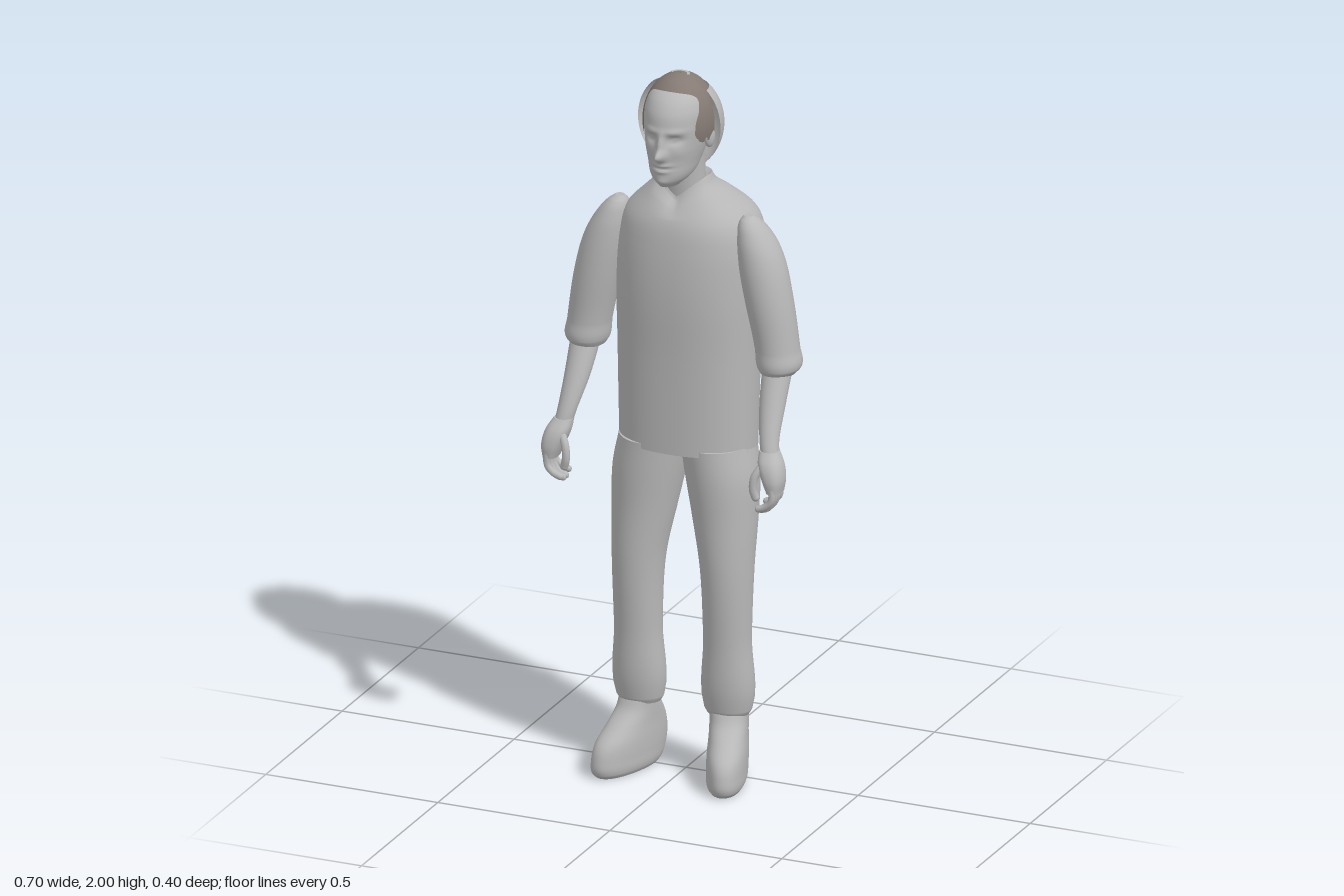
import * as THREE from 'three';
import { ParametricGeometry } from 'three/addons/geometries/ParametricGeometry.js';

const TAU = Math.PI * 2;

// Smooth body through horizontal cross-sections, listed upwards: [y, x0, x1, z0, z1]
function loft(sections, { side = 1, n = 40, steps = 6, power = 2, rule } = {}) {
  const curve = new THREE.CubicInterpolant(
    sections.map((s) => s[0]), sections.flatMap((s) => s.slice(1)), 4);
  const levels = [];
  sections.forEach((s, i) => {
    const next = sections[i + 1];
    for (let k = 0; k < (next ? steps : 1); k++) {
      levels.push(next ? s[0] + ((next[0] - s[0]) * k) / steps : s[0]);
    }
  });
  const pos = [], idx = [], e = 2 / power;
  const ring = (y) => {
    const [x0, x1, z0, z1] = curve.evaluate(y);
    for (let j = 0; j < n; j++) {
      const c = Math.cos((j / n) * TAU), s = Math.sin((j / n) * TAU);
      const p = new THREE.Vector3(
        side * (x0 + x1) / 2 + ((x1 - x0) / 2) * Math.sign(c) * Math.abs(c) ** e, y,
        (z0 + z1) / 2 + ((z1 - z0) / 2) * Math.sign(s) * Math.abs(s) ** e);
      if (rule) rule(p);
      pos.push(p.x, p.y, p.z);
    }
    return [side * (x0 + x1) / 2, y, (z0 + z1) / 2];
  };
  levels.forEach((y, i) => {
    ring(y);
    if (i === 0) return;
    for (let j = 0; j < n; j++) {
      const a = (i - 1) * n + j, b = (i - 1) * n + ((j + 1) % n);
      idx.push(a, a + n, b, b, a + n, b + n);
    }
  });
  // End caps on their own rings, so the rims stay sharp
  for (const top of [false, true]) {
    const start = pos.length / 3;
    const centre = ring(top ? levels[levels.length - 1] : levels[0]);
    const p = new THREE.Vector3(...centre);
    if (rule) rule(p);
    pos.push(p.x, p.y, p.z);
    for (let j = 0; j < n; j++) {
      const a = start + j, b = start + ((j + 1) % n);
      idx.push(start + n, ...(top ? [b, a] : [a, b]));
    }
  }
  const g = new THREE.BufferGeometry();
  g.setAttribute('position', new THREE.Float32BufferAttribute(pos, 3));
  g.setIndex(idx);
  g.computeVertexNormals();
  return g;
}

// Part of an ellipsoid between a lower edge and an upper edge
function dome(centre, radii, from, to, low, high, nu, nv) {
  const g = new ParametricGeometry((u, v, t) => {
    const a = from + (to - from) * u;
    const el = low(a) + (high - low(a)) * v;
    const r = Math.cos(el);
    t.set(centre[0] + radii[0] * r * Math.cos(a), centre[1] + radii[1] * Math.sin(el),
      centre[2] + radii[2] * r * Math.sin(a));
  }, nu, nv);
  g.computeVertexNormals();
  return g;
}

const bump = (p, x, y, z, sx, sy, amount) => {
  if (p.z > z) p.z += amount * Math.exp(-(((p.x - x) / sx) ** 2) - ((p.y - y) / sy) ** 2);
};

// Brow, eye sockets, nose, mouth and chin
function faceRule(p) {
  bump(p, 0, 1.808, 0.08, 0.014, 0.016, 0.034);
  bump(p, 0, 1.84, 0.08, 0.011, 0.024, 0.016);
  for (const s of [-1, 1]) {
    bump(p, s * 0.034, 1.85, 0.08, 0.018, 0.011, -0.014);
    bump(p, s * 0.034, 1.85, 0.08, 0.01, 0.005, 0.007);
    bump(p, s * 0.034, 1.873, 0.08, 0.026, 0.008, 0.005);
    bump(p, s * 0.045, 1.815, 0.08, 0.02, 0.018, 0.004);
  }
  bump(p, 0, 1.778, 0.08, 0.024, 0.005, 0.007);
  bump(p, 0, 1.77, 0.08, 0.026, 0.0035, -0.005);
  bump(p, 0, 1.762, 0.08, 0.02, 0.005, 0.006);
  bump(p, 0, 1.728, 0.08, 0.02, 0.012, 0.006);
}

export function createModel() {
  const model = new THREE.Group();
  const grey = new THREE.MeshStandardMaterial({ color: 0xb8b8b8, side: THREE.DoubleSide });
  grey.name = 'light grey';
  const brown = new THREE.MeshStandardMaterial({ color: 0x857a74, side: THREE.DoubleSide });
  brown.name = 'hair brown';
  const add = (name, geometry, material = grey, parent = model) => {
    const mesh = new THREE.Mesh(geometry, material);
    mesh.name = name;
    parent.add(mesh);
    return mesh;
  };

  // Shirt, with the neckline dipping at the front
  add('shirt', loft([
    [0.935, -0.19, 0.19, -0.15, 0.115], [1.2, -0.195, 0.195, -0.165, 0.122],
    [1.4, -0.198, 0.2, -0.183, 0.13], [1.54, -0.192, 0.195, -0.197, 0.122],
    [1.59, -0.175, 0.175, -0.182, 0.112], [1.65, -0.118, 0.118, -0.115, 0.085],
    [1.685, -0.084, 0.084, -0.066, 0.065], [1.71, -0.072, 0.072, -0.048, 0.052],
  ], { n: 64, power: 2.25, rule: (p) => {
    if (p.y > 1.6 && p.z > 0) {
      p.y -= 0.055 * Math.max(0, 1 - Math.abs(p.x) / 0.07) * Math.min(1, (p.y - 1.6) / 0.1);
      p.z += 0.02 * Math.max(0, 1 - Math.abs(p.x) / 0.07) * Math.min(1, (p.y - 1.6) / 0.1);
    }
  } }));

  // Neck and head
  add('neck', loft([
    [1.62, -0.064, 0.064, -0.05, 0.06], [1.7, -0.058, 0.058, -0.043, 0.068],
    [1.8, -0.058, 0.058, -0.045, 0.08],
  ]));
  add('head', loft([
    [1.712, -0.028, 0.028, 0.06, 0.148], [1.735, -0.052, 0.052, 0.01, 0.163],
    [1.78, -0.069, 0.069, -0.03, 0.165], [1.83, -0.081, 0.081, -0.052, 0.165],
    [1.88, -0.086, 0.086, -0.058, 0.164], [1.925, -0.083, 0.083, -0.052, 0.152],
    [1.96, -0.066, 0.066, -0.03, 0.122], [1.982, -0.036, 0.036, 0.0, 0.08],
  ], { n: 96, steps: 10, rule: faceRule }));
  for (const s of [-1, 1]) {
    const ear = add('ear', new THREE.SphereGeometry(1, 16, 12));
    ear.scale.set(0.012, 0.032, 0.018);
    ear.position.set(s * 0.088, 1.835, 0.045);
    ear.rotation.y = s * -0.3;
  }

  // Hair: cropped back shell and a ragged cap with sideburns
  add('backHair', dome([0, 1.862, 0.045], [0.12, 0.135, 0.121], Math.PI, TAU, () => -0.95, 0.85, 40, 20));
  const hairline = (a) => {
    const s = Math.sin(a), ragged = 0.05 * Math.sin(a * 23) + 0.03 * Math.sin(a * 41);
    if (s < -0.05) return 0.5 + ragged;
    if (s < 0.6) return -0.28 + ragged;
    return Math.min(0.62, -0.28 + (s - 0.6) * 3.2) + ragged * 0.5;
  };
  add('hairCap', dome([0, 1.87, 0.038], [0.1, 0.13, 0.106], 0, TAU, hairline, 1.56, 120, 18), brown);
  // Light crown patch
  const crown = add('crownPatch', new THREE.RingGeometry(0.021, 0.029, 24, 1, 0.15, Math.PI - 0.3));
  crown.rotation.x = -Math.PI / 2;
  crown.position.set(0, 1.999, 0.045);

  for (const side of [1, -1]) {
    const label = side > 0 ? 'right' : 'left'; // sections are written for the -x side
    const opt = { side };

    // Trousers
    add(label + 'TrouserLeg', loft([
      [0.185, -0.185, -0.07, -0.035, 0.06], [0.2, -0.194, -0.062, -0.042, 0.067],
      [0.4, -0.195, -0.064, -0.042, 0.083], [0.6, -0.2, -0.056, -0.058, 0.097],
      [0.75, -0.205, -0.028, -0.088, 0.1], [0.86, -0.204, -0.006, -0.112, 0.105],
      [0.95, -0.188, 0.01, -0.13, 0.106],
    ], opt));

    // Shoe, toes turned out
    const shoe = add(label + 'Shoe', loft([
      [0, -0.044, 0.044, -0.06, 0.165], [0.012, -0.051, 0.051, -0.073, 0.178],
      [0.05, -0.054, 0.054, -0.09, 0.18], [0.09, -0.054, 0.054, -0.094, 0.163],
      [0.13, -0.052, 0.052, -0.085, 0.115], [0.165, -0.052, 0.052, -0.065, 0.072],
      [0.2, -0.052, 0.052, -0.04, 0.05],
    ], { power: 2.2 }));
    shoe.position.set(-side * 0.13, 0, 0.01);
    shoe.rotation.y = -side * 0.3;

    // Arm: rolled sleeve, forearm, palm
    const arm = new THREE.Group();
    arm.name = label + 'Arm';
    model.add(arm);
    add('sleeve', loft([
      [1.182, -0.322, -0.23, -0.042, 0.072], [1.2, -0.337, -0.22, -0.053, 0.083],
      [1.25, -0.332, -0.213, -0.05, 0.081], [1.4, -0.31, -0.18, -0.053, 0.084],
      [1.5, -0.284, -0.16, -0.055, 0.077], [1.56, -0.252, -0.157, -0.045, 0.064],
      [1.6, -0.218, -0.165, -0.018, 0.043], [1.613, -0.2, -0.175, 0, 0.025],
    ], opt), grey, arm);
    add('forearm', loft([
      [0.97, -0.328, -0.28, 0.1, 0.158], [1.02, -0.32, -0.268, 0.09, 0.144],
      [1.1, -0.318, -0.25, 0.04, 0.113], [1.22, -0.32, -0.235, -0.025, 0.06],
    ], opt), grey, arm);
    add('palm', loft([
      [0.895, -0.345, -0.305, 0.115, 0.183], [0.93, -0.35, -0.29, 0.108, 0.186],
      [0.97, -0.342, -0.275, 0.103, 0.175], [1.0, -0.325, -0.272, 0.1, 0.152],
    ], { side, power: 2.4 }), grey, arm);

    // Curled fingers and thumb
    const digit = (name, points, r) => {
      const pts = points.map(([x, y, z]) => new THREE.Vector3(side * x, y, z));
      add(name, new THREE.TubeGeometry(new THREE.CatmullRomCurve3(pts), 12, r, 10), grey, arm);
      const tip = add(name + 'Tip', new THREE.SphereGeometry(r, 10, 8), grey, arm);
      tip.position.copy(pts[pts.length - 1]);
    };
    for (let i = 0; i < 4; i++) {
      const z = 0.122 + i * 0.018, drop = [0.012, 0, 0, 0.008][i];
      digit('finger', [[-0.327, 0.91, z], [-0.325, 0.875, z], [-0.308, 0.848 + drop, z], [-0.288, 0.84 + drop, z]], 0.0095);
    }
    digit('thumb', [[-0.295, 0.97, 0.155], [-0.275, 0.935, 0.172], [-0.272, 0.9, 0.175], [-0.278, 0.878, 0.172]], 0.011);
  }
  return model;
}
